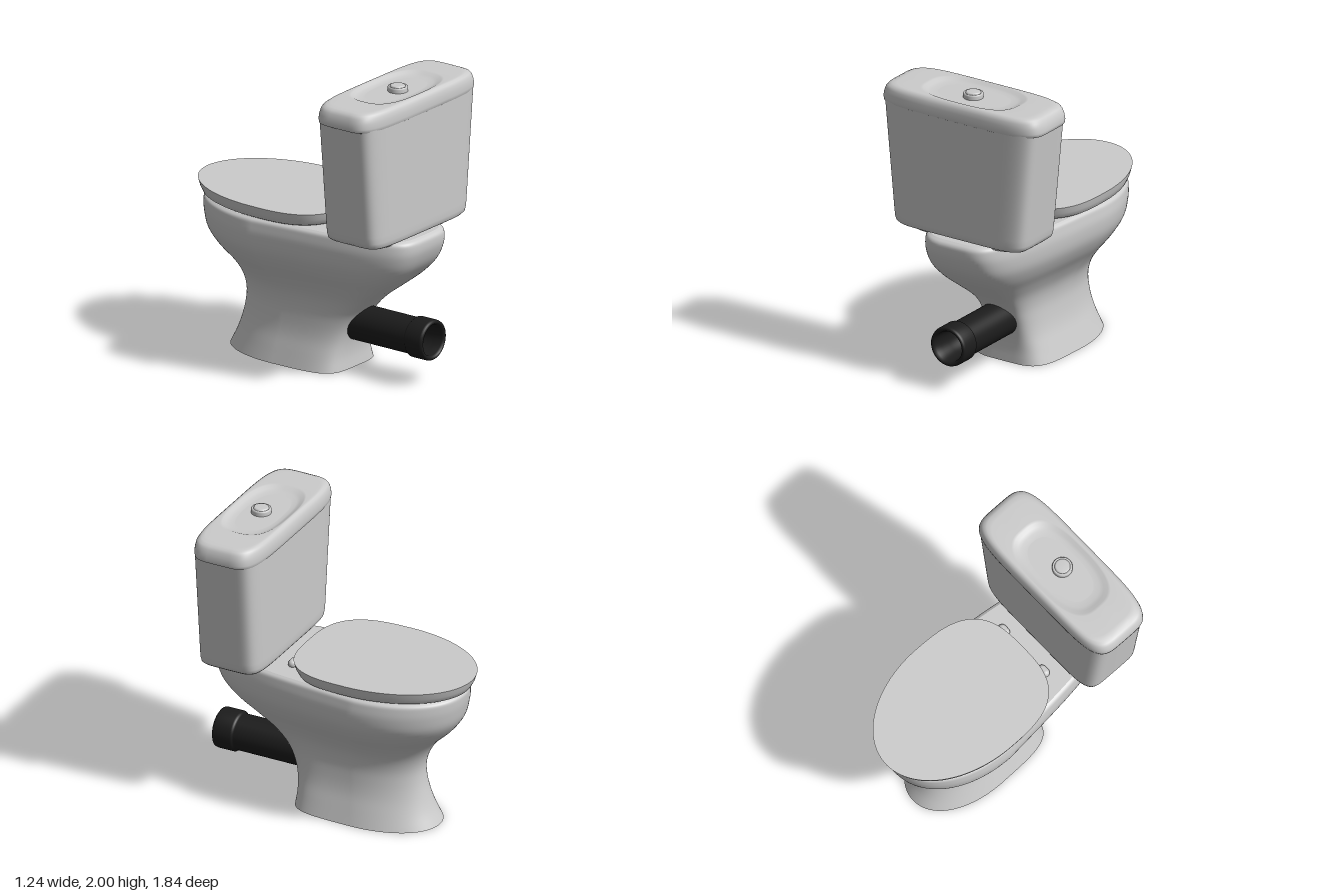
import * as THREE from 'three';

const SEG = 96;
const grey = new THREE.MeshStandardMaterial({ color: 0xcccccc });
const black = new THREE.MeshStandardMaterial({ color: 0x1c1c1c });

// Horizontal outline: two half superellipses joined at the widest point zWide.
function ring({ y, w, z0, z1, zWide = (z0 + z1) / 2, n0 = 2, n1 = n0, taper = 0 }) {
  const points = [];
  for (let j = 0; j < SEG; j++) {
    const a = (j / SEG) * Math.PI * 2;
    const c = Math.cos(a), s = Math.sin(a);
    const n = s > 0 ? n1 : n0;
    const sx = Math.sign(c) * Math.abs(c) ** (2 / n);
    const sz = Math.abs(s) ** (2 / n);
    const narrow = s > 0 ? 1 - taper * sz : 1;
    points.push([w * sx * narrow, y, zWide + sz * (s > 0 ? z1 - zWide : z0 - zWide)]);
  }
  return points;
}

// Skin over stacked rings, closed at both ends; a repeated ring gives a crisp edge.
function loft(rows) {
  const collapse = (r) => {
    const zc = r.zWide ?? (r.z0 + r.z1) / 2;
    return { ...r, w: 0, z0: zc, z1: zc, zWide: zc };
  };
  const first = rows[0], last = rows[rows.length - 1];
  const all = [collapse(first), first, ...rows, last, collapse(last)];
  const index = [];
  for (let i = 0; i < all.length - 1; i++) {
    for (let j = 0; j < SEG; j++) {
      const k = (j + 1) % SEG;
      const a = i * SEG + j, b = i * SEG + k;
      index.push(a, a + SEG, b, b, a + SEG, b + SEG);
    }
  }
  const geometry = new THREE.BufferGeometry();
  geometry.setAttribute('position', new THREE.Float32BufferAttribute(all.flatMap(ring).flat(), 3));
  geometry.setIndex(index);
  geometry.computeVertexNormals();
  return geometry;
}

// Pedestal and bowl: key sections smoothed by splines
function bowlGeometry() {
  // y, half width, z0, z1, zWide, taper
  const keys = [
    [0, 0.30, -0.685, 0.29, -0.18, 0.03],
    [0.1, 0.268, -0.635, 0.283, -0.17, 0.04],
    [0.2, 0.238, -0.60, 0.293, -0.16, 0.06],
    [0.3, 0.222, -0.577, 0.322, -0.15, 0.08],
    [0.4, 0.218, -0.572, 0.378, -0.15, 0.10],
    [0.5, 0.24, -0.60, 0.475, -0.16, 0.13],
    [0.6, 0.297, -0.663, 0.605, -0.18, 0.17],
    [0.7, 0.37, -0.765, 0.73, -0.2, 0.2],
    [0.8, 0.423, -0.835, 0.82, -0.22, 0.22],
    [0.9, 0.44, -0.86, 0.866, -0.23, 0.23],
    [0.97, 0.434, -0.867, 0.875, -0.24, 0.23],
    [1.0, 0.426, -0.864, 0.865, -0.24, 0.23],
    [1.015, 0.405, -0.845, 0.84, -0.24, 0.23],
  ];
  const spline = (from) => new THREE.CatmullRomCurve3(
    keys.map((k) => new THREE.Vector3(k[from], k[from + 1], k[from + 2])), false, 'catmullrom');
  const lower = spline(0), upper = spline(3);
  const steps = (keys.length - 1) * 4;
  const rows = [];
  for (let i = 0; i <= steps; i++) {
    const a = lower.getPoint(i / steps), b = upper.getPoint(i / steps);
    rows.push({ y: a.x, w: a.y, z0: a.z, z1: b.x, zWide: b.y, taper: b.z, n0: 2.1, n1: 4.5 });
  }
  return loft(rows);
}

export function createModel() {
  const group = new THREE.Group();
  const add = (name, geometry, material = grey) => {
    const mesh = new THREE.Mesh(geometry, material);
    mesh.name = name;
    group.add(mesh);
    return mesh;
  };

  add('bowl', bowlGeometry());

  // Seat cover, flaring upward with a crisp top edge
  const cover = add('seatCover', loft([
    [0, 0.415, -0.87, 0.235],
    [0.008, 0.43, -0.888, 0.25],
    [0.045, 0.445, -0.908, 0.268],
    [0.088, 0.455, -0.922, 0.28],
  ].map(([y, w, z0, z1]) => ({ y, w, z0, z1, zWide: -0.24, n0: 2, n1: 3 }))));
  cover.position.y = 1.021;
  cover.rotation.x = 0.007;

  // Hinge caps behind the cover
  for (const side of [-1, 1]) {
    const hinge = add('hinge', new THREE.CapsuleGeometry(0.03, 0.03, 8, 20));
    hinge.rotation.z = Math.PI / 2;
    hinge.position.set(side * 0.19, 1.03, 0.285);
  }

  // Gasket between bowl and tank
  add('gasket', loft([1.0, 1.045].map((y) => ({ y, w: 0.4, z0: 0.45, z1: 0.78, n0: 5 }))));

  // Tank body, widening upward
  add('tank', loft([
    [1.03, 0.46, 0.42, 0.81],
    [1.034, 0.49, 0.40, 0.83],
    [1.048, 0.507, 0.39, 0.84],
    [1.075, 0.515, 0.386, 0.844],
    [1.12, 0.52, 0.384, 0.845],
    [1.87, 0.593, 0.38, 0.848],
  ].map(([y, w, z0, z1]) => ({ y, w, z0, z1, n0: 6.5 }))));

  // Tank lid with rounded rim and a shallow oval dish
  add('tankLid', loft([
    [1.857, 0.605, 0.38, 0.845, 5],
    [1.862, 0.615, 0.373, 0.853, 5],
    [1.885, 0.619, 0.37, 0.856, 5],
    [1.92, 0.613, 0.371, 0.855, 5],
    [1.95, 0.602, 0.377, 0.85, 5],
    [1.968, 0.588, 0.386, 0.84, 5],
    [1.978, 0.565, 0.397, 0.828, 4.8],
    [1.981, 0.53, 0.407, 0.818, 4.5],
    [1.981, 0.37, 0.412, 0.812, 3],
    [1.978, 0.352, 0.42, 0.803, 2.9],
    [1.967, 0.328, 0.437, 0.785, 2.8],
    [1.96, 0.30, 0.455, 0.765, 2.7],
    [1.958, 0.26, 0.48, 0.74, 2.6],
  ].map(([y, w, z0, z1, n0]) => ({ y, w, z0, z1, n0 }))));

  // Flush button: collar and raised centre
  const profile = (pairs) => pairs.map(([r, y]) => new THREE.Vector2(r, y));
  const button = add('flushButton', new THREE.LatheGeometry(profile([
    [0.066, 1.95], [0.067, 1.982], [0.064, 1.99], [0.058, 1.993], [0.052, 1.989],
    [0.05, 1.99], [0.048, 1.997], [0.04, 2.0], [0, 2.0],
  ]), 40));
  button.position.z = 0.625;

  // Hollow waste pipe with a thicker socket at its end
  const pipe = add('wastePipe', new THREE.LatheGeometry(profile([
    [0.122, 0.15], [0.122, 0.765], [0.128, 0.775], [0.136, 0.785], [0.136, 0.9],
    [0.132, 0.915], [0.123, 0.921], [0.112, 0.918], [0.104, 0.905],
    [0.1, 0.85], [0.095, 0.77], [0.095, 0.45], [0, 0.45],
  ]), 48), black);
  pipe.rotation.x = Math.PI / 2;
  pipe.position.y = 0.307;

  return group;
}
